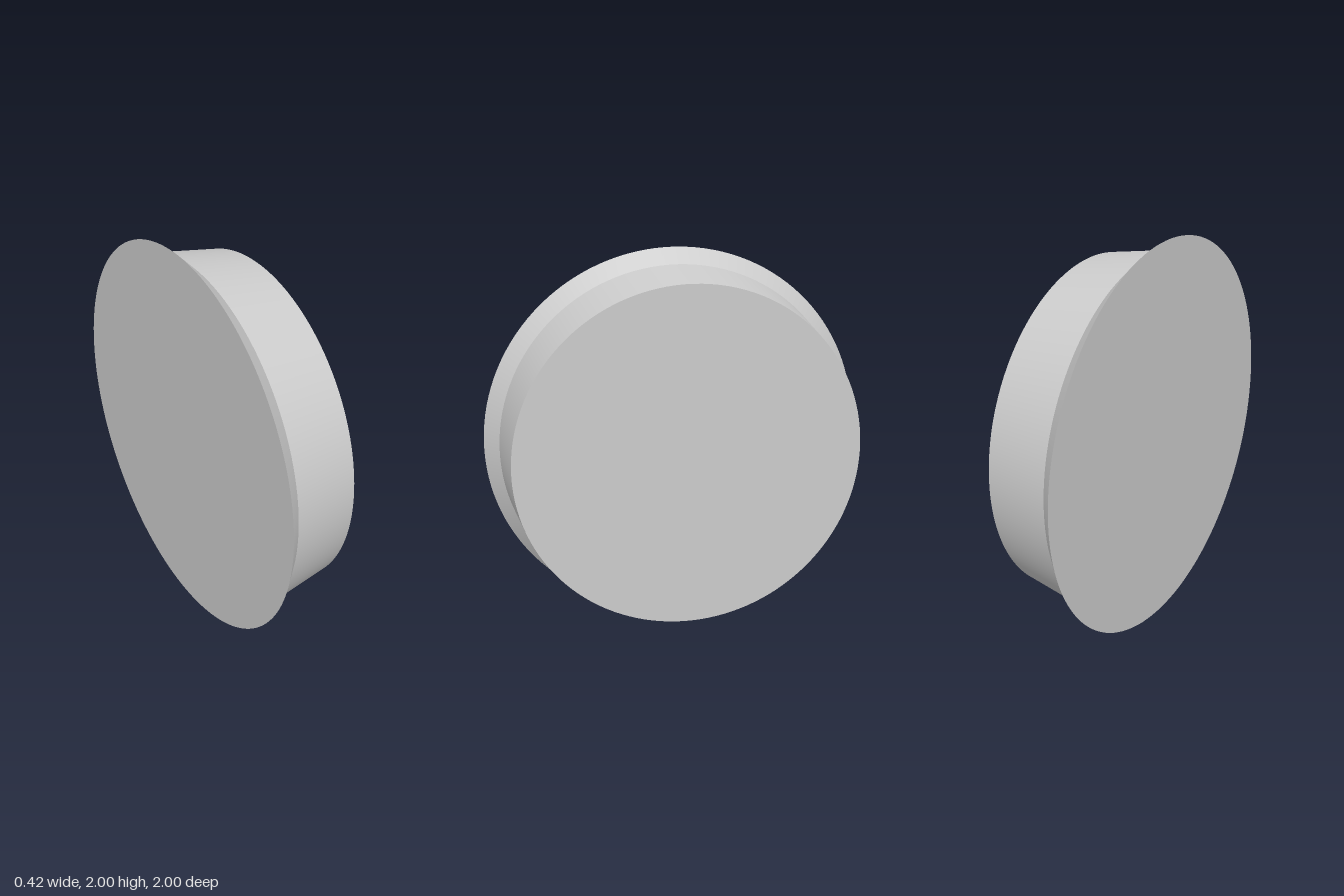
import * as THREE from 'three';

export function createModel() {
  const group = new THREE.Group();
  const material = new THREE.MeshStandardMaterial({ color: 0xcccccc });
  const SEGMENTS = 128;

  const add = (name, geometry, x) => {
    const mesh = new THREE.Mesh(geometry, material);
    mesh.name = name;
    mesh.position.set(x, 1, 0);
    group.add(mesh);
  };

  // Open conical band around the x axis, from x0 (radius r0) to x1 (radius r1)
  const band = (name, x0, r0, x1, r1) => {
    const geometry = new THREE.CylinderGeometry(r1, r0, x1 - x0, SEGMENTS, 1, true);
    add(name, geometry.rotateZ(-Math.PI / 2), (x0 + x1) / 2);
  };

  // Flat disc facing +x (side = 1) or -x (side = -1)
  const disc = (name, x, radius, side) => {
    const geometry = new THREE.CircleGeometry(radius, SEGMENTS);
    add(name, geometry.rotateY(side * Math.PI / 2), x);
  };

  // Flared rim and gently tapered body, closed by a disc at each end
  band('flaredRim', -0.21, 1, -0.13, 0.923);
  band('taperedBody', -0.13, 0.923, 0.207, 0.875);
  disc('wideFace', -0.21, 1, -1);
  disc('narrowFace', 0.207, 0.875, 1);

  return group;
}
